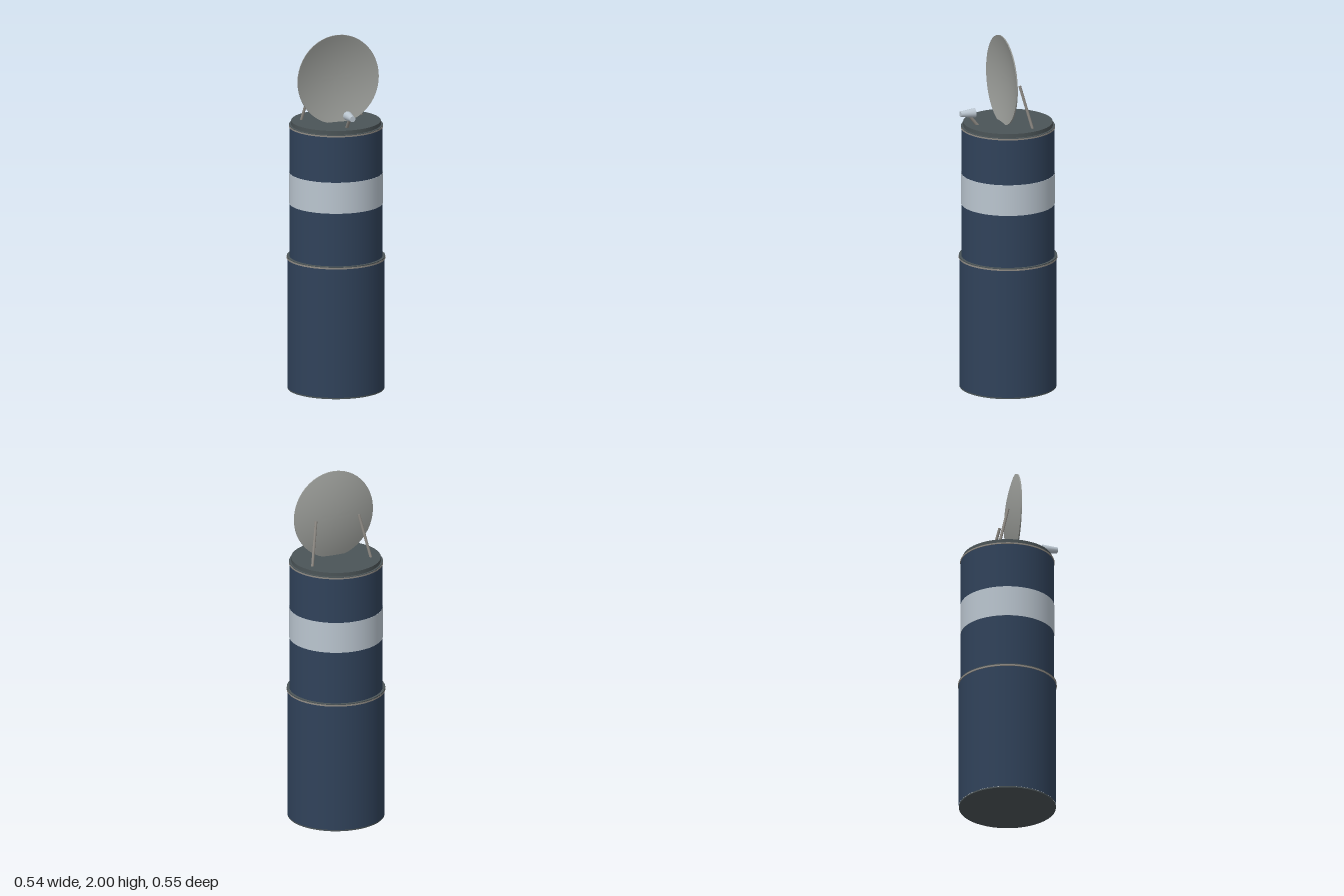
import * as THREE from 'three';
import { toCreasedNormals } from 'three/addons/utils/BufferGeometryUtils.js';

const paint = (name, color) => Object.assign(new THREE.MeshStandardMaterial({ color }), { name });

export function createModel() {
  const navy = paint('navy', 0x30425a);
  const silver = paint('silver', 0xbac5cf);
  const dishGrey = paint('dish grey', 0x999b97);
  const trimGrey = paint('trim grey', 0x8e8a84);
  const slate = paint('slate', 0x4b5457);

  const model = new THREE.Group();
  model.name = 'dishTower';
  const axisZ = -0.004; // the tower axis; the feed horn overhangs the front

  const add = (name, geometry, material) => {
    const mesh = new THREE.Mesh(geometry, material);
    mesh.name = name;
    model.add(mesh);
    return mesh;
  };

  // Upright drum between two heights
  const drum = (name, radius, y0, y1, material, open = false) => {
    const g = new THREE.CylinderGeometry(radius, radius, y1 - y0, 48, 1, open);
    return add(name, g.translate(0, (y0 + y1) / 2, axisZ), material);
  };

  // Tapered rod from point a to point b
  const rod = (name, a, b, ra, rb, sides, material) => {
    const from = new THREE.Vector3(...a), to = new THREE.Vector3(...b);
    const dir = to.clone().sub(from);
    const mesh = add(name, new THREE.CylinderGeometry(rb, ra, dir.length(), sides), material);
    mesh.position.copy(from).addScaledVector(dir, 0.5);
    mesh.quaternion.setFromUnitVectors(new THREE.Vector3(0, 1, 0), dir.normalize());
    return mesh;
  };

  // Lower tower section with its ledge
  drum('basePlate', 0.266, 0, 0.008, slate);
  drum('lowerBody', 0.267, 0.008, 0.736, navy, true);
  drum('lowerTrim', 0.271, 0.734, 0.743, trimGrey);
  drum('lowerLedge', 0.27, 0.743, 0.748, slate);

  // Upper tower section, painted band and lid
  drum('upperBody', 0.256, 0.74, 1.48, navy, true);
  drum('band', 0.2575, 1.045, 1.22, silver);
  drum('upperTrim', 0.259, 1.477, 1.485, trimGrey);
  drum('upperLedge', 0.2575, 1.485, 1.488, slate);
  drum('lid', 0.246, 1.488, 1.51, slate);

  // Shallow concave dish, opening toward the front
  const profile = [];
  const steps = 10, rim = 0.25;
  for (let i = 0; i <= steps; i++) {
    const t = i / steps;
    profile.push(new THREE.Vector2(rim * t, -0.012 + 0.04 * t * t));
  }
  for (let i = steps; i >= 0; i--) {
    const t = i / steps;
    profile.push(new THREE.Vector2(rim * t, -0.005 + 0.04 * t * t));
  }
  const dish = toCreasedNormals(new THREE.LatheGeometry(profile, 48), 0.6);
  dish.rotateX(Math.PI / 2).scale(0.94, 1, 1).translate(0, 1.75, 0);
  add('dish', dish, dishGrey);

  // Rear struts
  for (const [side, s] of [['left', 1], ['right', -1]]) {
    rod(side + 'Strut', [s * 0.176, 1.5, -0.083], [s * 0.128, 1.745, -0.024], 0.008, 0.008, 8, trimGrey);
  }

  // Feed arm and horn, wide end facing the dish
  rod('feedArm', [0, 1.5, 0.17], [0, 1.578, 0.232], 0.009, 0.009, 8, trimGrey);
  rod('feedHorn', [0, 1.58, 0.19], [0, 1.58, 0.275], 0.026, 0.016, 16, silver);

  return model;
}
